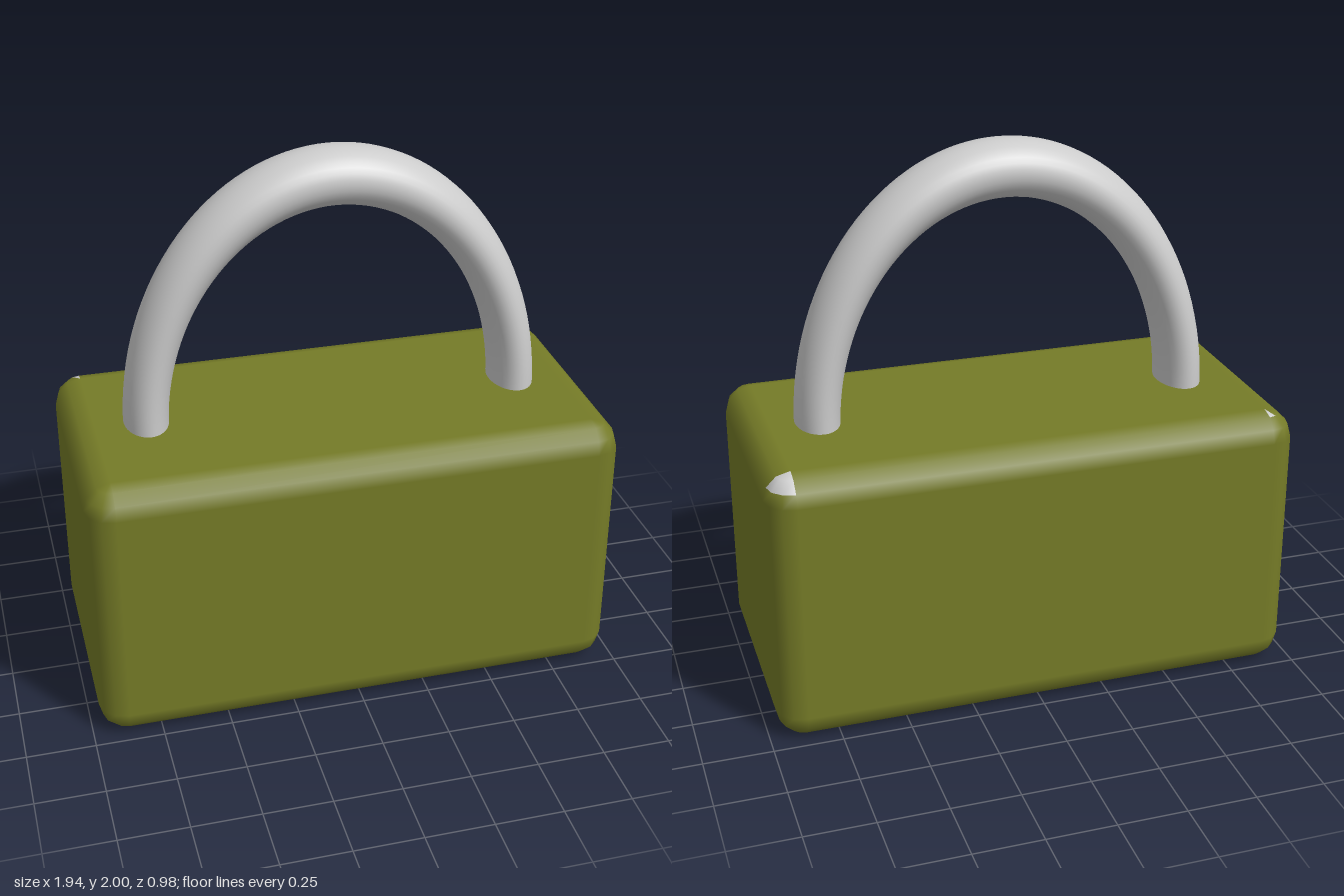
import * as THREE from 'three';

const W = 0.97, H = 0.51, D = 0.49, R = 0.1; // body half sizes and edge radius
const STEPS = 3; // facets per rounded quarter

// Rounded box skin, as rings from the top centre to the bottom centre.
// keep(row, column) selects which facets of the skin to build.
function roundedSkin(keep) {
  const rows = [
    { e: 90, s: 1, centre: true }, { e: 90, s: 1 }, { e: 60, s: 1 }, { e: 30, s: 1 }, { e: 0, s: 1 },
    { e: 0, s: -1 }, { e: -30, s: -1 }, { e: -60, s: -1 }, { e: -90, s: -1 }, { e: -90, s: -1, centre: true },
  ];
  const signs = [[1, 1], [-1, 1], [-1, -1], [1, -1]];
  const cols = 4 * (STEPS + 1);
  const pos = [], nor = [], index = [];
  rows.forEach(({ e, s, centre }, r) => {
    const el = THREE.MathUtils.degToRad(e);
    for (let i = 0; i < cols; i++) {
      const corner = Math.floor(i / (STEPS + 1));
      const a = (corner + (i % (STEPS + 1)) / STEPS) * Math.PI / 2;
      const n = [Math.cos(el) * Math.cos(a), Math.sin(el), Math.cos(el) * Math.sin(a)];
      const [sx, sz] = centre ? [0, 0] : signs[corner];
      pos.push(sx * (W - R) + R * n[0], H + s * (H - R) + R * n[1], sz * (D - R) + R * n[2]);
      nor.push(...n);
      if (r < rows.length - 1 && keep(r, i)) {
        const j = (i + 1) % cols;
        const p = r * cols + i, q = r * cols + j;
        index.push(p, q, q + cols, p, q + cols, p + cols);
      }
    }
  });
  const geo = new THREE.BufferGeometry();
  geo.setAttribute('position', new THREE.Float32BufferAttribute(pos, 3));
  geo.setAttribute('normal', new THREE.Float32BufferAttribute(nor, 3));
  geo.setIndex(index);
  return geo;
}

export function createModel() {
  const group = new THREE.Group();
  const grey = new THREE.MeshStandardMaterial({ color: 0xcccccc });
  const olive = new THREE.MeshStandardMaterial({ color: 0x757b27 });
  const add = (name, geo, mat) => {
    const mesh = new THREE.Mesh(geo, mat);
    mesh.name = name;
    group.add(mesh);
    return mesh;
  };

  // Body, with bare grey facets on the two rear top corners
  const isBare = (r, i) => ((r === 1 || r === 2) && i >= 12 && i < 15) || (r === 1 && i === 10);
  add('body', roundedSkin((r, i) => !isBare(r, i)), olive);
  add('bareCorners', roundedSkin(isBare), grey);

  // Shackle: half ring stretched upwards, its ends sunk into the body
  const shackle = add('shackle', new THREE.TorusGeometry(1, 0.117, 32, 64, Math.PI), grey);
  shackle.scale.set(0.692, 0.895, 1.09);
  shackle.position.set(0.008, 1.0, -0.007);

  return group;
}
